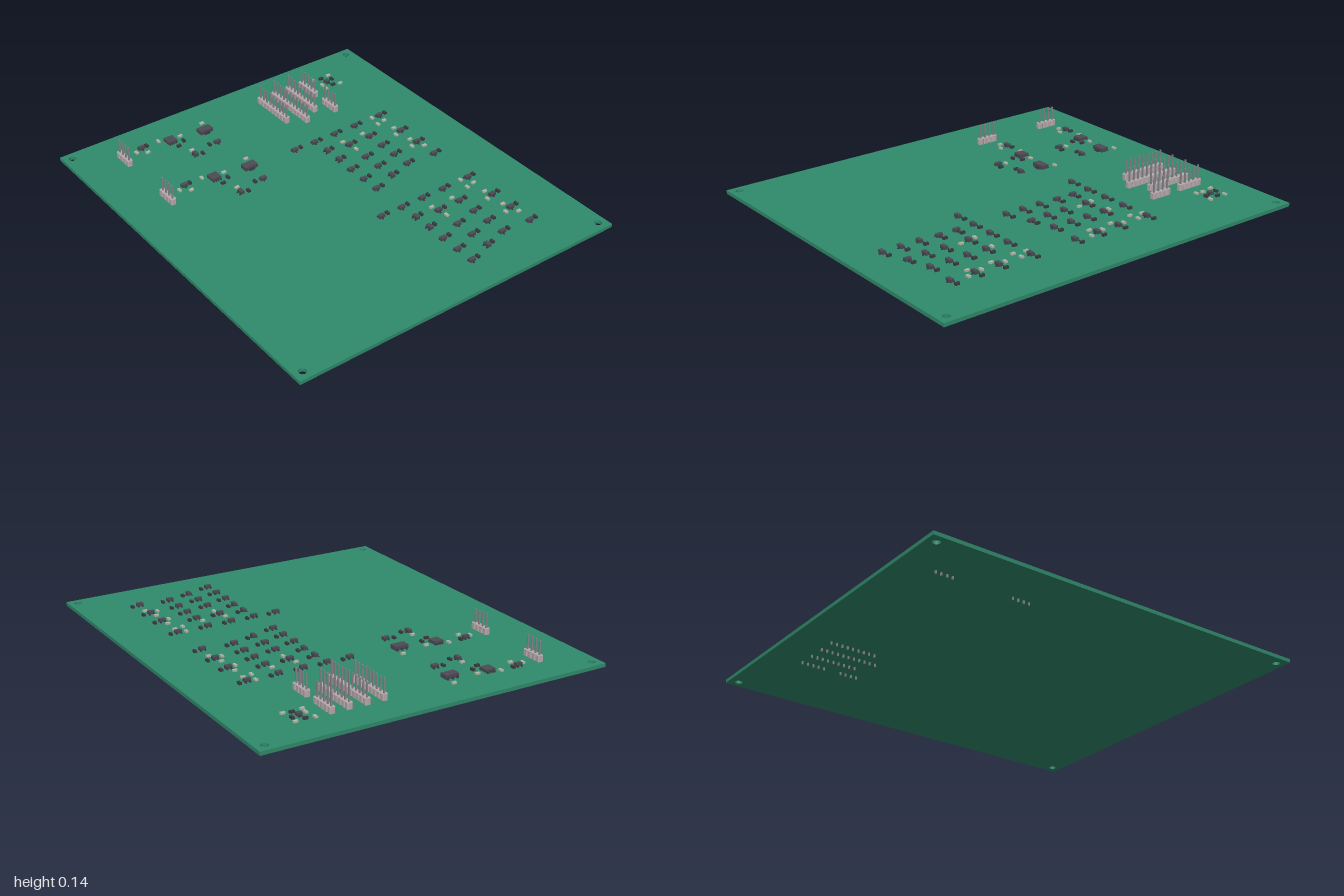
import * as THREE from 'three';

const TOP = 0.034;      // upper face of the board
const BOTTOM = 0.016;   // lower face of the board
const PITCH = 0.0284;   // header pin spacing

const mat = (color) => new THREE.MeshStandardMaterial({ color });
const green = mat(0x2f8a6a), dark = mat(0x4c4a54), black = mat(0x3a3a40);
const metal = mat(0x85858a), housing = mat(0xb5a8aa), ceramic = mat(0xb4b8a8);

// Box whose underside sits at y
function box(parent, name, material, w, h, d, x, y, z) {
  const m = new THREE.Mesh(new THREE.BoxGeometry(w, h, d), material);
  m.name = name;
  m.position.set(x, y + h / 2, z);
  parent.add(m);
  return m;
}

function part(parent, name, x, z, turn = 0) {
  const g = new THREE.Group();
  g.name = name;
  g.position.set(x, TOP, z);
  g.rotation.y = turn;
  parent.add(g);
  return g;
}

// Board with four mounting holes
function board(root) {
  const w = 1, d = 0.885;
  const s = new THREE.Shape([[-w, -d], [w, -d], [w, d], [-w, d]].map(p => new THREE.Vector2(...p)));
  for (const x of [-0.955, 0.955]) for (const z of [-0.84, 0.84]) {
    s.holes.push(new THREE.Path().absarc(x, z, 0.018, 0, Math.PI * 2, true));
  }
  const geo = new THREE.ExtrudeGeometry(s, { depth: TOP - BOTTOM, bevelEnabled: false, curveSegments: 16 });
  geo.rotateX(-Math.PI / 2);
  const m = new THREE.Mesh(geo, green);
  m.name = 'board';
  m.position.y = BOTTOM;
  root.add(m);
}

// Pin header: chamfered plastic cells with a long square pin through each
function header(root, x, z, count) {
  const g = part(root, 'pinHeader', x, z);
  const a = PITCH / 2, c = 0.005;
  const cell = new THREE.Shape([
    [-a, -a + c], [-a + c, -a], [a - c, -a], [a, -a + c],
    [a, a - c], [a - c, a], [-a + c, a], [-a, a - c],
  ].map(p => new THREE.Vector2(...p)));
  const geo = new THREE.ExtrudeGeometry(cell, { depth: 0.03, bevelEnabled: false });
  geo.rotateX(-Math.PI / 2);
  for (let i = 0; i < count; i++) {
    const block = new THREE.Mesh(geo, housing);
    block.name = 'headerBlock';
    block.position.x = i * PITCH;
    g.add(block);
    box(g, 'headerPin', metal, 0.007, 0.135, 0.007, i * PITCH, -TOP, 0);
  }
}

// Two-terminal chip: body with end caps
function chip(root, name, material, x, z, turn = 0, h = 0.009) {
  const g = part(root, name, x, z, turn);
  box(g, 'chipBody', material, 0.012, h, 0.013, 0, 0, 0);
  for (const s of [-1, 1]) box(g, 'chipTerminal', material, 0.005, h + 0.001, 0.014, s * 0.0085, 0, 0);
}
const resistor = (root, x, z, turn) => chip(root, 'resistor', black, x, z, turn, 0.011);
const capacitor = (root, x, z, turn) => chip(root, 'capacitor', ceramic, x, z, turn);

// Gull-wing lead reaching out along x in direction s
function lead(g, s, x, z, w, h) {
  box(g, 'foot', black, 0.007, 0.003, w, s * (x + 0.0035), 0, z);
  box(g, 'leadRiser', black, 0.003, h, w, s * (x + 0.0015), 0, z);
}

// Small three-legged transistor
function transistor(root, x, z, turn = 0) {
  const g = part(root, 'transistor', x, z, turn);
  box(g, 'transistorBody', dark, 0.019, 0.016, 0.032, 0, 0.002, 0);
  lead(g, 1, 0.0095, 0, 0.007, 0.009);
  for (const s of [-1, 1]) lead(g, -1, 0.0095, s * 0.011, 0.007, 0.009);
}

// Power regulator: three legs and a wide tab
function regulator(root, x, z) {
  const g = part(root, 'regulator', x, z);
  box(g, 'regulatorBody', dark, 0.042, 0.02, 0.07, 0, 0.002, 0);
  lead(g, 1, 0.021, 0, 0.032, 0.011);
  for (const i of [-1, 0, 1]) lead(g, -1, 0.021, i * 0.025, 0.009, 0.011);
}

// Square package with leads along two sides
function controller(root, x, z, w, d, n) {
  const g = part(root, 'controllerChip', x, z);
  box(g, 'controllerBody', dark, w, 0.015, d, 0, 0.002, 0);
  for (const s of [-1, 1]) for (let i = 0; i < n; i++) {
    lead(g, s, w / 2, ((i + 0.5) / n - 0.5) * d, d / n / 2, 0.008);
  }
}

const Q = Math.PI / 2;

// Transistor array: each stage has a resistor just behind it
function transistorArray(root, dx) {
  const g = new THREE.Group();
  g.name = 'transistorArray';
  g.position.x = dx;
  root.add(g);
  const rows = [
    { z: -0.595, x: [-0.357, -0.182, -0.055, 0.075], flat: [] },
    { z: -0.436, x: [-0.355, -0.235, -0.134, -0.037, 0.063], flat: [] },
    { z: -0.31, x: [-0.355, -0.235, -0.102, -0.003, 0.096], flat: [4] },
    { z: -0.186, x: [-0.355, -0.257, -0.16, -0.058, 0.042, 0.139], flat: [1, 2] },
    { z: -0.067, x: [-0.357], flat: [] },
  ];
  for (const { z, x, flat } of rows) x.forEach((px, i) => {
    const turned = flat.includes(i);
    transistor(g, px, z - (turned ? 0.006 : 0), turned ? Q : 0);
    resistor(g, px - 0.007, z - 0.041, 0);
  });
  for (const [x, z] of [[-0.31, -0.59], [-0.225, -0.585], [-0.097, -0.585], [-0.012, -0.607],
    [-0.277, -0.425], [-0.277, -0.302]]) capacitor(g, x, z, Q);
  for (const [x, z] of [[-0.364, -0.555], [-0.3, -0.543], [-0.171, -0.555], [-0.043, -0.555],
    [-0.188, -0.318]]) capacitor(g, x, z, 0);
}

// Power section: regulator, controller and their output header
function powerSection(root, dx) {
  const g = new THREE.Group();
  g.name = 'powerSection';
  g.position.x = dx;
  root.add(g);
  regulator(g, -0.771, 0.191);
  controller(g, -0.797, 0.377, 0.05, 0.05, 4);
  transistor(g, -0.647, 0.197);
  transistor(g, -0.62, 0.342, Q);
  transistor(g, -0.824, 0.528);
  for (const [x, z, t] of [[-0.653, 0.239, 0], [-0.76, 0.323, 0], [-0.61, 0.307, 0],
    [-0.733, 0.367, Q], [-0.83, 0.495, 0]]) resistor(g, x, z, t);
  for (const [x, z, t] of [[-0.84, 0.165, Q], [-0.807, 0.315, Q], [-0.664, 0.336, Q],
    [-0.83, 0.427, 0], [-0.776, 0.52, Q], [-0.807, 0.566, 0]]) capacitor(g, x, z, t);
  header(g, -0.826, 0.645, 4);
}

export function createModel() {
  const root = new THREE.Group();
  root.name = 'circuitBoard';
  board(root);

  // Signal headers: x, z, pin count
  for (const h of [[-0.826, -0.451, 5], [-0.623, -0.451, 4], [-0.826, -0.365, 9],
    [-0.826, -0.276, 11], [-0.826, -0.19, 9]]) header(root, ...h);

  // Small chip with its passives in the rear corner
  controller(root, -0.783, -0.582, 0.022, 0.024, 3);
  for (const [x, z, t] of [[-0.792, -0.62, 0], [-0.826, -0.575, Q], [-0.743, -0.593, Q]]) resistor(root, x, z, t);
  for (const [x, z, t] of [[-0.833, -0.627, Q], [-0.733, -0.632, Q], [-0.833, -0.532, 0],
    [-0.771, -0.543, 0], [-0.733, -0.538, Q]]) capacitor(root, x, z, t);

  for (const dx of [0, 0.684]) transistorArray(root, dx);
  for (const dx of [0, 0.396]) powerSection(root, dx);
  return root;
}
